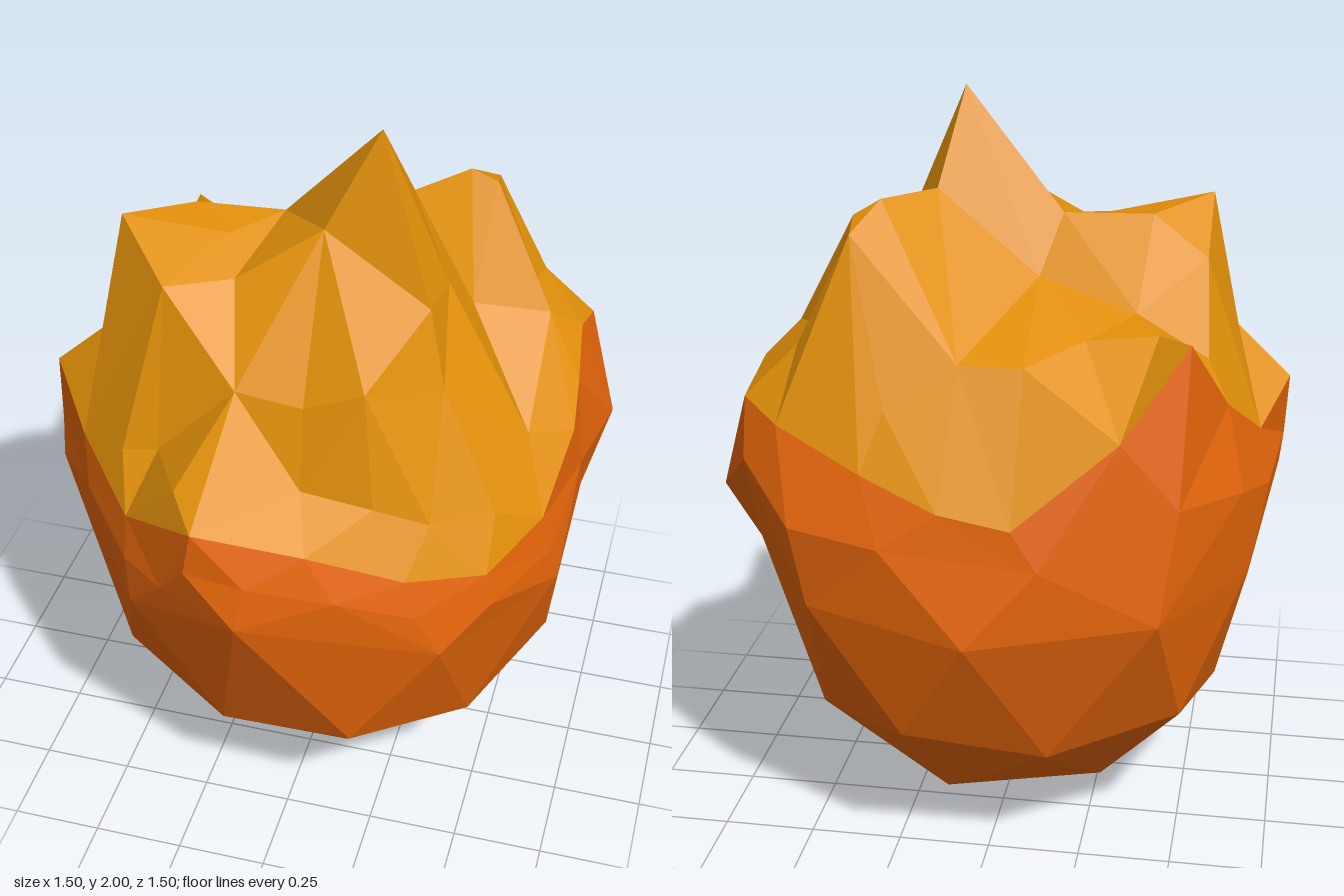
import * as THREE from 'three';

const orange = new THREE.MeshStandardMaterial({ color: 0xe2640a, flatShading: true });
orange.name = 'burnt orange';
const amber = new THREE.MeshStandardMaterial({ color: 0xe08f09, flatShading: true });
amber.name = 'amber';

const angle = (p) => (Math.atan2(p[2], p[0]) + Math.PI * 2) % (Math.PI * 2);
const byAngle = (ring) => [...ring].sort((a, b) => angle(a) - angle(b));
const distance = (p, q) => Math.hypot(p[0] - q[0], p[1] - q[1], p[2] - q[2]);

// Regular ring whose radius and height alternate between two values.
function ring(count, radii, heights, cx, cz) {
  return Array.from({ length: count }, (_, i) => {
    const a = (i / count) * Math.PI * 2;
    const r = radii[i % radii.length];
    return [cx + r * Math.cos(a), heights[i % heights.length], cz + r * Math.sin(a)];
  });
}

// Zip two closed rings of any vertex count into a band, along the shorter diagonals.
function stitch(low, high, out) {
  const a = byAngle(low), sorted = byAngle(high);
  let start = 0;
  sorted.forEach((q, k) => {
    if (distance(q, a[0]) < distance(sorted[start], a[0])) start = k;
  });
  const b = [...sorted.slice(start), ...sorted.slice(0, start)];
  let i = 0, j = 0;
  while (i < a.length || j < b.length) {
    const p = a[i % a.length], q = b[j % b.length];
    const nextP = a[(i + 1) % a.length], nextQ = b[(j + 1) % b.length];
    const moveLow = j >= b.length || (i < a.length && distance(nextP, q) < distance(p, nextQ));
    out.push(p, q, moveLow ? nextP : nextQ);
    if (moveLow) i++;
    else j++;
  }
}

// Delaunay triangulation of points seen from above.
function triangulate(points) {
  const pts = [...points, [-20, 0, -20.3], [20.1, 0, -20], [0.2, 0, 25]];
  const n = points.length;
  const circle = (t) => {
    const [[ax, , ay], [bx, , by], [cx, , cy]] = t.map((k) => pts[k]);
    const d = 2 * (ax * (by - cy) + bx * (cy - ay) + cx * (ay - by));
    const A = ax * ax + ay * ay, B = bx * bx + by * by, C = cx * cx + cy * cy;
    const x = (A * (by - cy) + B * (cy - ay) + C * (ay - by)) / d;
    const y = (A * (cx - bx) + B * (ax - cx) + C * (bx - ax)) / d;
    return { t, x, y, r: (ax - x) ** 2 + (ay - y) ** 2 };
  };
  let tris = [circle([n, n + 1, n + 2])];
  for (let k = 0; k < n; k++) {
    const [px, , pz] = pts[k];
    const bad = tris.filter((c) => (px - c.x) ** 2 + (pz - c.y) ** 2 < c.r);
    tris = tris.filter((c) => !bad.includes(c));
    const edges = bad.flatMap(({ t }) => [[t[0], t[1]], [t[1], t[2]], [t[2], t[0]]]);
    for (const [u, v] of edges) {
      const shared = edges.filter(([s, e]) => (s === u && e === v) || (s === v && e === u));
      if (shared.length === 1) tris.push(circle([u, v, k]));
    }
  }
  return tris.map((c) => c.t).filter((t) => t.every((k) => k < n));
}

function inside(x, z, poly) {
  let hit = false;
  poly.forEach(([ax, , az], i) => {
    const [bx, , bz] = poly[(i + 1) % poly.length];
    if (az > z !== bz > z && x < ((bx - ax) * (z - az)) / (bz - az) + ax) hit = !hit;
  });
  return hit;
}

function facetMesh(name, corners, material) {
  const g = new THREE.BufferGeometry();
  g.setAttribute('position', new THREE.Float32BufferAttribute(corners.flat(), 3));
  g.computeVertexNormals();
  const mesh = new THREE.Mesh(g, material);
  mesh.name = name;
  return mesh;
}

export function createModel() {
  const group = new THREE.Group();
  group.name = 'facetedPod';

  // Wavy edge where the shell meets the crown
  const rim = byAngle([
    [0.68, 1.13, 0.0], [0.64, 0.97, 0.2], [0.53, 0.92, 0.41], [0.34, 0.96, 0.54],
    [0.1, 1.07, 0.64], [-0.18, 1.14, 0.71], [-0.42, 1.02, 0.54], [-0.6, 1.12, 0.35],
    [-0.75, 1.2, 0.14], [-0.68, 1.1, -0.03], [-0.6, 1.24, -0.25], [-0.51, 1.45, -0.42],
    [-0.35, 1.23, -0.57], [-0.09, 1.02, -0.67], [0.1, 1.05, -0.66], [0.31, 1.12, -0.6],
    [0.55, 1.21, -0.51], [0.66, 1.25, -0.41], [0.65, 1.31, -0.24], [0.67, 1.22, -0.1],
  ]);

  // Shell: base tip, two regular rings, the waist, the belly, then the rim
  const tip = [0.02, 0, -0.03];
  const foot = ring(5, [0.37], [0.11], 0.02, -0.03);
  const lower = ring(10, [0.64, 0.59], [0.4, 0.34], 0.01, -0.02);
  const waist = [
    [0.69, 0.75, 0.17], [0.44, 0.73, 0.54], [-0.06, 0.88, 0.75], [-0.41, 0.76, 0.58],
    [-0.73, 0.92, 0.21], [-0.67, 0.76, -0.22], [-0.46, 0.75, -0.6], [0.02, 0.72, -0.75],
    [0.46, 0.75, -0.61], [0.69, 0.77, -0.23],
  ];
  const belly = [
    [0.7, 0.97, -0.07], [0.67, 0.86, 0.19], [0.55, 0.83, 0.42], [0.37, 0.86, 0.56],
    [0.18, 0.94, 0.65], [-0.04, 1.0, 0.72], [-0.2, 1.02, 0.72], [-0.29, 0.9, 0.66],
    [-0.42, 0.9, 0.57], [-0.58, 0.98, 0.4], [-0.74, 1.02, 0.17], [-0.71, 0.96, -0.08],
    [-0.65, 1.02, -0.31], [-0.5, 1.05, -0.54], [-0.16, 0.92, -0.69], [0.25, 0.95, -0.68],
    [0.5, 0.97, -0.62], [0.65, 1.1, -0.48], [0.75, 0.97, -0.34],
  ];
  const shell = [];
  const base = byAngle(foot);
  base.forEach((p, i) => shell.push(tip, p, base[(i + 1) % base.length]));
  const rings = [foot, lower, waist, belly, rim];
  for (let i = 0; i < rings.length - 1; i++) stitch(rings[i], rings[i + 1], shell);
  group.add(facetMesh('shell', shell, orange));

  // Crown: ridges, peaks and clefts rising from the rim
  const peaks = [
    [0.15, 2.0, 0.07], [0.02, 1.74, 0.15], [0.2, 1.75, -0.09], [0.32, 1.75, -0.24],
    [0.38, 1.68, -0.35], [0.39, 1.71, -0.26], [-0.13, 1.68, -0.02], [-0.37, 1.68, 0.0],
    [-0.52, 1.71, 0.16], [-0.52, 1.57, -0.02], [-0.25, 1.66, 0.1], [-0.2, 1.6, 0.22],
    [-0.36, 1.61, 0.32], [-0.14, 1.4, 0.43], [0.04, 1.38, 0.43], [0.2, 1.45, 0.43],
    [0.32, 1.6, 0.23], [0.37, 1.39, 0.27], [0.57, 1.17, 0.1], [0.33, 1.58, 0.06],
    [0.37, 1.43, -0.09], [0.57, 1.39, -0.16], [0.51, 1.42, -0.27], [0.52, 1.39, -0.38],
    [-0.08, 1.53, -0.13], [-0.35, 1.46, -0.2], [-0.54, 1.34, -0.18], [-0.42, 1.44, -0.32],
    [-0.23, 1.42, -0.33], [-0.09, 1.38, -0.46], [0.08, 1.38, -0.46], [0.26, 1.27, -0.53],
    [-0.6, 1.34, 0.15], [-0.45, 1.17, 0.45], [-0.35, 1.19, 0.45], [-0.25, 1.2, 0.62],
    [0.05, 1.17, 0.5], [0.24, 1.14, 0.49], [0.38, 1.08, 0.44], [0.53, 1.06, 0.32],
  ];
  const pts = [...rim, ...peaks];
  const crown = [];
  for (const t of triangulate(pts)) {
    const [a, b, c] = t.map((k) => pts[k]);
    if (!inside((a[0] + b[0] + c[0]) / 3, (a[2] + b[2] + c[2]) / 3, rim)) continue;
    const up = (b[2] - a[2]) * (c[0] - a[0]) - (b[0] - a[0]) * (c[2] - a[2]);
    crown.push(...(up > 0 ? [a, b, c] : [a, c, b]));
  }
  group.add(facetMesh('crown', crown, amber));
  return group;
}
